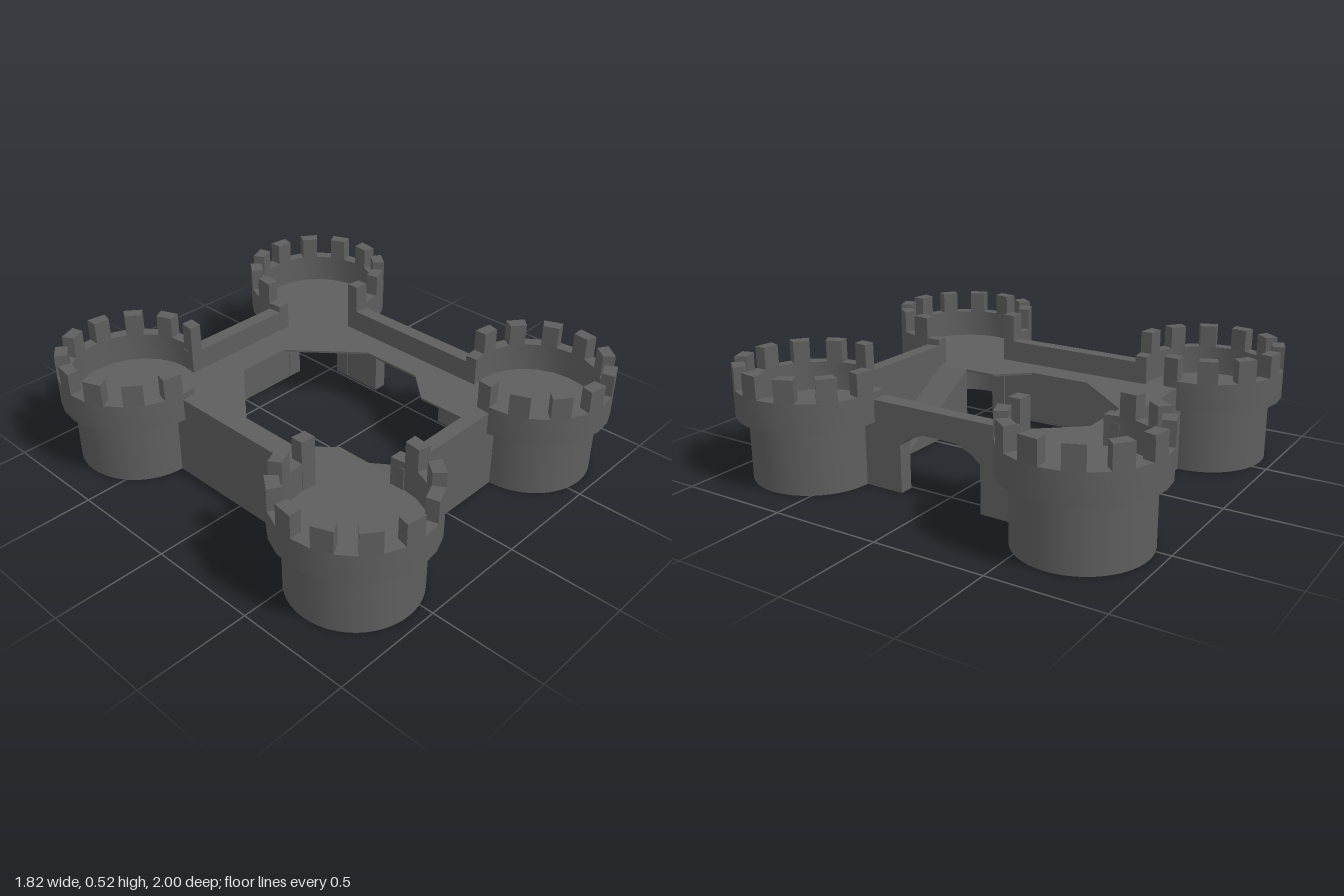
import * as THREE from 'three';
import { toCreasedNormals } from 'three/addons/utils/BufferGeometryUtils.js';

const CX = 0.575, CZ = 0.665;      // tower centres
const T = 0.065;                   // wall thickness
const DECK = 0.29, SLAB = 0.01, WALL = 0.39;
const rad = THREE.MathUtils.degToRad;

const material = new THREE.MeshStandardMaterial({ color: 0x5e5e5e });

function part(name, geometry, parent) {
  const mesh = new THREE.Mesh(toCreasedNormals(geometry, 0.3), material);
  mesh.name = name;
  parent.add(mesh);
  return mesh;
}

// Extrudes a plan outline of [x, z] points between two heights
function plan(points, y0, y1) {
  const shape = new THREE.Shape(points.map(([x, z]) => new THREE.Vector2(x, -z)));
  const g = new THREE.ExtrudeGeometry(shape, { depth: y1 - y0, bevelEnabled: false });
  return g.rotateX(-Math.PI / 2).translate(0, y0, 0);
}

// Points of an arc in tower space, clipped where the tower opens to the yard
function arc(r, from, to, step) {
  const open = THREE.MathUtils.radToDeg(Math.asin(T / r));
  const a0 = Math.max(from, -90 - open), a1 = Math.min(to, 180 + open);
  const angles = [a0];
  for (let a = Math.ceil(from / step) * step; a < to; a += step) {
    if (a > a0 + 0.01 && a < a1 - 0.01) angles.push(a);
  }
  angles.push(a1);
  return angles.map(a => [r * Math.cos(rad(a)), r * Math.sin(rad(a))]);
}

function createTower(sx, sz) {
  const tower = new THREE.Group();
  tower.name = (sz > 0 ? 'front' : 'back') + (sx > 0 ? 'Left' : 'Right') + 'Tower';
  const place = pts => pts.map(([u, v]) => [CX * sx + u * sx, CZ * sz + v * sz]);
  const ring = (r0, r1, y0, y1, from, to, step) =>
    plan(place([...arc(r1, from, to, step), ...arc(r0, from, to, step).reverse()]), y0, y1);

  part('towerShaft', ring(0.21, 0.28, 0, DECK, -120, 210, 7.5), tower);
  part('crownRing', ring(0.28, 0.335, DECK, 0.42, -120, 210, 15), tower);

  // Every other 15 degree segment carries a merlon, turned alike on all towers
  const phase = sx * sz > 0 ? 0 : 15;
  for (let a = -120 + phase; a < 190; a += 30) {
    if (a + 15 <= -100) continue;
    part('merlon', ring(0.28, 0.335, 0.42, 0.52, a, a + 15, 15), tower);
  }

  // Round floor inside the crown
  const floor = new THREE.CylinderGeometry(0.279, 0.279, SLAB, 48);
  part('towerFloor', floor, tower).position.set(CX * sx, DECK - SLAB / 2, CZ * sz);
  return tower;
}

export function createModel() {
  const castle = new THREE.Group();
  castle.name = 'castle';

  for (const sx of [-1, 1]) for (const sz of [-1, 1]) castle.add(createTower(sx, sz));

  // Walkway around the yard, open at the front for the ramp
  const half = [[0.26, 0.62], [0.26, 0.29], [0.385, 0.15], [0.385, -0.15], [0.13, -0.45]];
  const mirrored = half.map(([x, z]) => [-x, z]).reverse();
  part('walkway', plan([
    ...half, ...mirrored,
    [-0.53, 0.62], [-0.53, -0.62], [0.53, -0.62], [0.53, 0.62],
  ], DECK - SLAB, DECK), castle);

  // Front and back walls
  for (const s of [-1, 1]) {
    const wall = part(s > 0 ? 'frontWall' : 'backWall', new THREE.BoxGeometry(0.6, WALL, T), castle);
    wall.position.set(0, WALL / 2, s * (CZ - T / 2));
  }

  // Closed side wall
  part('rightWall', new THREE.BoxGeometry(T, WALL, 0.776), castle)
    .position.set(-CX + T / 2, WALL / 2, 0);

  // Side wall with the arched gate
  const gate = [[0.2, 0], [0.2, 0.215], [0.155, 0.25], [0.08, 0.28]];
  const outline = [
    [-0.388, 0], [-0.388, WALL], [0.388, WALL], [0.388, 0],
    ...gate, ...gate.map(([x, y]) => [-x, y]).reverse(),
  ];
  const gateShape = new THREE.Shape(outline.map(p => new THREE.Vector2(...p)));
  const gateWall = new THREE.ExtrudeGeometry(gateShape, { depth: T, bevelEnabled: false });
  part('gateWall', gateWall.rotateY(Math.PI / 2).translate(CX - T, 0, 0), castle);

  // Ramp from the yard up to the walkway
  const rampShape = new THREE.Shape([
    new THREE.Vector2(-0.26, 0), new THREE.Vector2(0.225, 0), new THREE.Vector2(-0.26, DECK),
  ]);
  const ramp = new THREE.ExtrudeGeometry(rampShape, { depth: 0.153, bevelEnabled: false });
  part('ramp', ramp.translate(0, 0, 0.447), castle);

  return castle;
}
